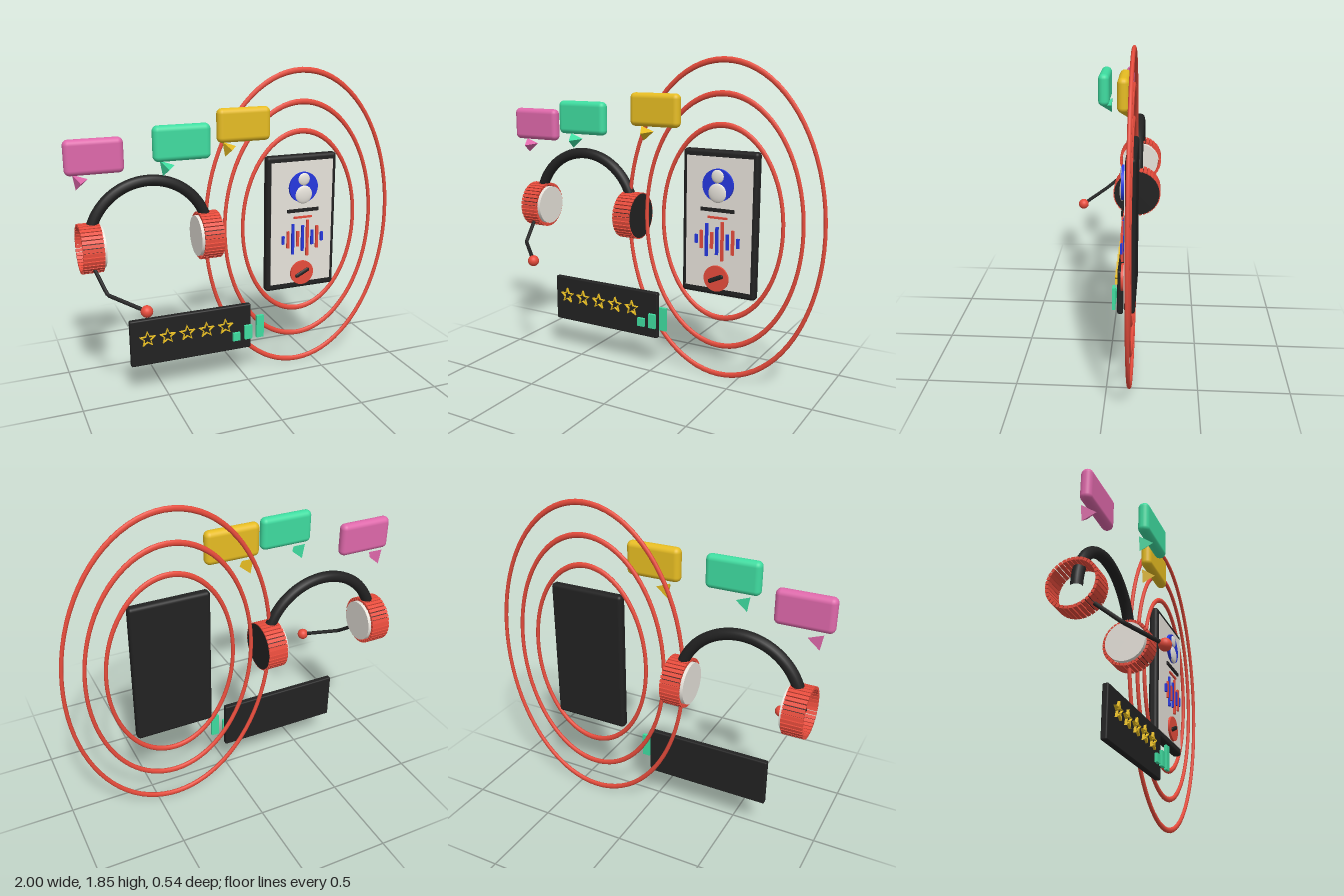
import * as THREE from 'three';
import { RoundedBoxGeometry } from 'three/addons/geometries/RoundedBoxGeometry.js';

const mat = (name, color, side = THREE.FrontSide) => {
  const m = new THREE.MeshStandardMaterial({ color, side });
  m.name = name;
  return m;
};

export function createModel() {
  const root = new THREE.Group();
  const red = mat('red', 0xe74c3c), dark = mat('charcoal', 0x222222), pale = mat('pale grey', 0xe8e4dc);
  const blue = mat('blue', 0x2638e0), yellow = mat('yellow', 0xe6bc22);
  const green = mat('green', 0x3fdca0), pink = mat('pink', 0xde68aa);

  const add = (name, geo, material, x = 0, y = 0, z = 0, parent = root) => {
    const m = new THREE.Mesh(geo, material);
    m.name = name;
    m.position.set(x, y, z);
    parent.add(m);
    return m;
  };
  const box = (w, h, d) => new THREE.BoxGeometry(w, h, d);
  const disc = (r, d) => new THREE.CylinderGeometry(r, r, d, 40).rotateX(Math.PI / 2);

  // Sound wave rings: circles stretched upwards
  const cx = 0.385;
  for (const r of [0.368, 0.481, 0.6]) {
    add('soundRing', new THREE.TorusGeometry(r, 0.011, 10, 80), red, cx, 0.922, -0.13).scale.y = 1.51;
  }

  // Phone
  const phone = new THREE.Group();
  phone.name = 'phone';
  root.add(phone);
  add('phoneBody', new RoundedBoxGeometry(0.455, 0.834, 0.056, 3, 0.02), dark, cx, 0.925, -0.128, phone);
  add('screen', box(0.4, 0.755, 0.008), pale, cx, 0.927, -0.1, phone);
  add('avatarDisc', disc(0.092, 0.016), blue, cx, 1.15, -0.082, phone);
  add('avatarHead', new THREE.SphereGeometry(0.038, 24, 16), pale, cx, 1.2, -0.076, phone).scale.z = 0.3;
  add('avatarBody', new THREE.SphereGeometry(0.055, 24, 16), pale, cx, 1.107, -0.076, phone).scale.z = 0.25;
  add('nameBar', box(0.204, 0.02, 0.009), dark, cx, 1.01, -0.08, phone);
  add('statusBar', box(0.118, 0.012, 0.009), red, cx, 0.967, -0.08, phone);
  [0.05, 0.105, 0.19, 0.095, 0.16, 0.225, 0.09, 0.14, 0.055].forEach((h, i) => {
    add('waveBar', box(0.016, h, 0.012), i % 2 ? red : blue, cx + (i - 4) * 0.032, 0.834, -0.08, phone);
  });
  add('callButton', disc(0.075, 0.014), red, cx, 0.615, -0.08, phone);
  const handset = add('handset', new THREE.CapsuleGeometry(0.013, 0.075, 6, 12), dark, cx, 0.615, -0.072, phone);
  handset.rotation.z = -Math.PI / 2 + 0.45;
  handset.scale.z = 0.6;

  // Headset: band, ribbed cups, ear pads
  const headset = new THREE.Group();
  headset.name = 'headset';
  root.add(headset);
  const hx = -0.54, hy = 0.91, hz = -0.135;
  add('headband', new THREE.TorusGeometry(0.345, 0.032, 14, 48, Math.PI), dark, hx, hy + 0.005, hz, headset);
  for (const s of [-1, 1]) {
    const cup = new THREE.Group();
    cup.name = s < 0 ? 'rightCup' : 'leftCup';
    cup.position.set(hx + s * 0.342, hy, hz);
    headset.add(cup);
    const shell = new THREE.CylinderGeometry(0.126, 0.126, 0.112, 40, 1, true).rotateZ(Math.PI / 2);
    add('cupCore', shell, dark, 0, 0, 0, cup);
    const n = 36;
    for (let i = 0; i < n; i++) {
      const a = (i / n) * Math.PI * 2;
      const rib = add('cupRib', box(0.116, 0.016, 0.0185), red, 0, Math.cos(a) * 0.131, Math.sin(a) * 0.131, cup);
      rib.rotation.x = a;
    }
    if (s > 0) add('cupCap', new THREE.CircleGeometry(0.134, 40).rotateY(Math.PI / 2), dark, 0.059, 0, 0, cup);
    // Ear pad rim and its inward face
    const rim = new THREE.CylinderGeometry(0.118, 0.118, 0.03, 40, 1, true).rotateZ(Math.PI / 2);
    add('padRim', rim, pale, -s * 0.058, 0, 0, cup);
    add('padFace', new THREE.CircleGeometry(0.118, 40).rotateY(-s * Math.PI / 2), pale, -s * 0.073, 0, 0, cup);
  }

  // Microphone boom
  const boom = new THREE.CurvePath();
  const pts = [[-0.88, 0.82, -0.05], [-0.84, 0.71, 0.088], [-0.668, 0.648, 0.237]].map(p => new THREE.Vector3(...p));
  boom.add(new THREE.LineCurve3(pts[0], pts[1]));
  boom.add(new THREE.LineCurve3(pts[1], pts[2]));
  add('micBoom', new THREE.TubeGeometry(boom, 24, 0.011, 8), dark, 0, 0, 0, headset);
  add('micTip', new THREE.SphereGeometry(0.033, 24, 16), red, pts[2].x, pts[2].y, pts[2].z, headset);

  // Speech bubbles with three-sided tails pointing forwards
  const tail = new THREE.ConeGeometry(0.05, 0.07, 3).rotateX(Math.PI / 2).rotateZ(-0.35).toNonIndexed();
  tail.computeVertexNormals();
  for (const [m, x, y, z] of [[pink, -0.843, 1.43, -0.065], [green, -0.404, 1.497, 0.07], [yellow, -0.003, 1.548, -0.065]]) {
    add('speechBubble', new RoundedBoxGeometry(0.315, 0.19, 0.064, 4, 0.03), m, x, y, z);
    add('bubbleTail', tail, m, x - 0.08, y - 0.135, z);
  }

  // Rating panel with outlined stars
  add('ratingPanel', new RoundedBoxGeometry(0.735, 0.282, 0.034, 2, 0.008), dark, -0.338, 0.339, -0.047);
  const starPoints = k => Array.from({ length: 10 }, (_, i) => {
    const a = Math.PI / 2 + i * Math.PI / 5, r = (i % 2 ? 0.021 : 0.05) * k;
    return new THREE.Vector2(Math.cos(a) * r, Math.sin(a) * r);
  });
  const star = new THREE.Shape(starPoints(1));
  star.holes.push(new THREE.Path(starPoints(0.78)));
  const starGeo = new THREE.ExtrudeGeometry(star, { depth: 0.014, bevelEnabled: false });
  for (let i = 0; i < 5; i++) add('star', starGeo, yellow, -0.61 + i * 0.118, 0.367, -0.023);

  // Signal bars
  [0.05, 0.087, 0.14].forEach((h, i) => {
    add('signalBar', box(0.046, h, 0.018), green, -0.07 + i * 0.075, 0.266 + h / 2, -0.014);
  });

  return root;
}
